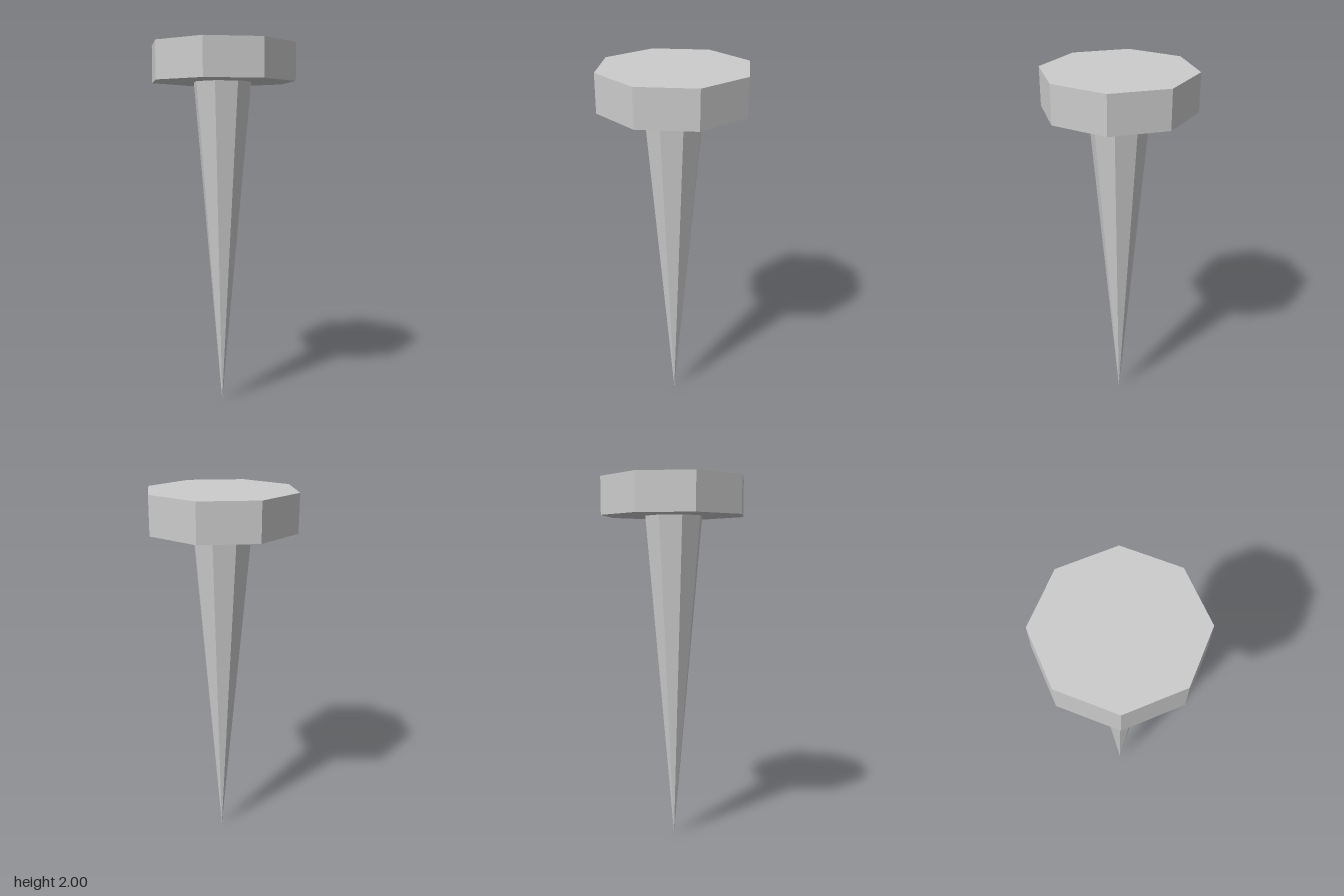
import * as THREE from 'three';

const SIDES = 8;
const HEAD_HEIGHT = 0.2;
const SHAFT_HEIGHT = 1.8;

export function createModel() {
  const group = new THREE.Group();
  group.name = 'nail';
  const material = new THREE.MeshStandardMaterial({ color: 0xcccccc, flatShading: true });

  // Flat octagonal head
  const head = new THREE.Mesh(new THREE.CylinderGeometry(0.4, 0.4, HEAD_HEIGHT, SIDES), material);
  head.name = 'head';
  head.position.y = SHAFT_HEIGHT + HEAD_HEIGHT / 2;

  // Tapered shaft, pointing down
  const shaft = new THREE.Mesh(new THREE.CylinderGeometry(0.16, 0, SHAFT_HEIGHT, SIDES, 1, true), material);
  shaft.name = 'shaft';
  shaft.position.y = SHAFT_HEIGHT / 2;

  group.add(head, shaft);
  return group;
}
